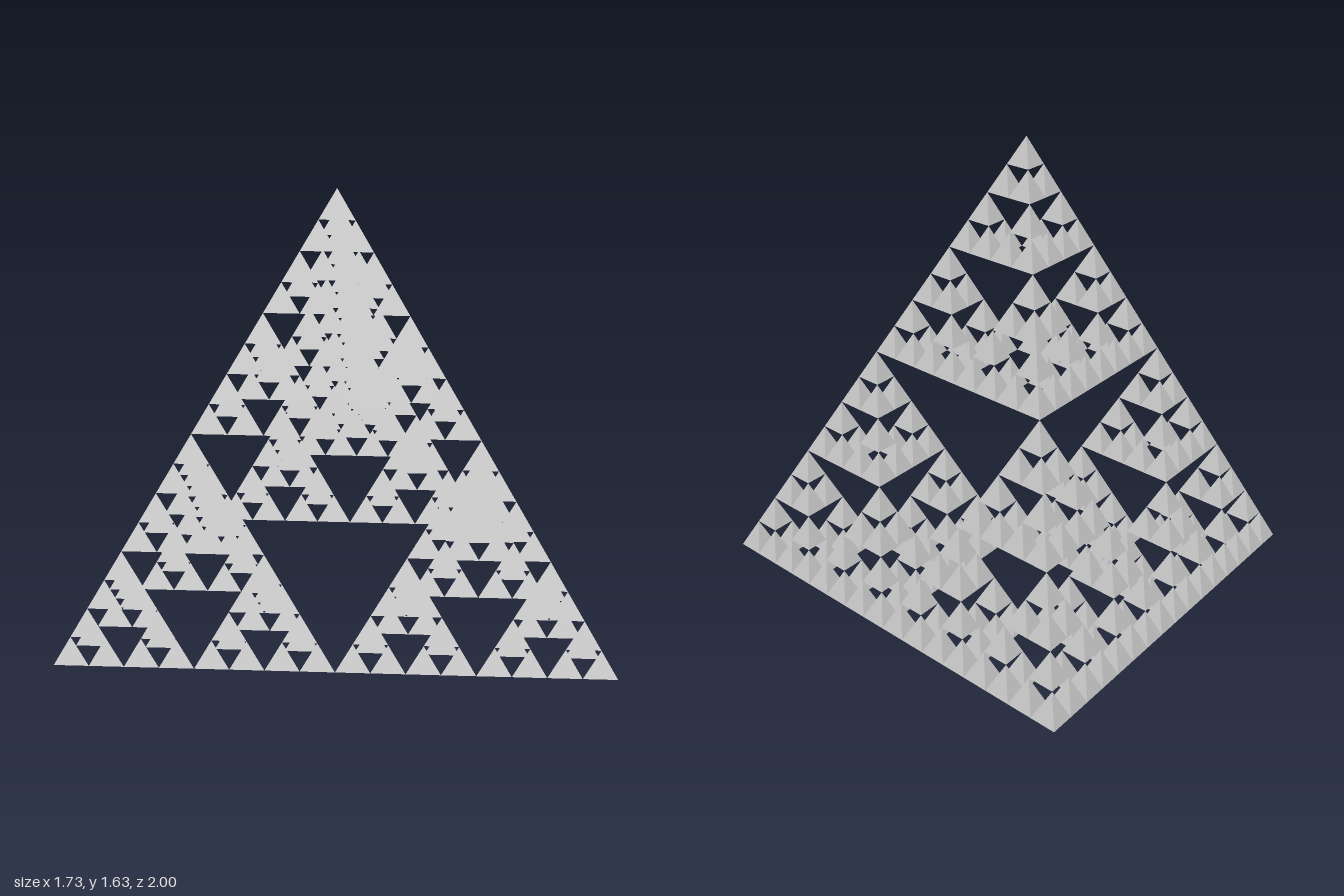
import * as THREE from 'three';
import { mergeGeometries } from 'three/addons/utils/BufferGeometryUtils.js';

const EDGE = 2;
const LEVELS = 4;
const RADIUS = EDGE / Math.sqrt(3);        // base centre to base corner
const HEIGHT = EDGE * Math.sqrt(2 / 3);

// Directions from the centre of a tetrahedron's base to its four corners, for edge EDGE
const CORNERS = [
  ['rightCorner', new THREE.Vector3(RADIUS, 0, 0)],
  ['backCorner', new THREE.Vector3(-RADIUS / 2, 0, -EDGE / 2)],
  ['frontCorner', new THREE.Vector3(-RADIUS / 2, 0, EDGE / 2)],
  ['topCorner', new THREE.Vector3(0, HEIGHT, 0)],
];

// Solid tetrahedron standing on its base, one base corner towards +x
function tetrahedron(scale, base) {
  const h = HEIGHT * scale;
  return new THREE.ConeGeometry(RADIUS * scale, h, 3, 1, false, Math.PI / 2)
    .translate(base.x, base.y + h / 2, base.z);
}

// Replace each tetrahedron by four half-size copies, one in each corner
function subdivide(base, scale, level, out) {
  if (level === 0) {
    out.push(tetrahedron(scale, base));
    return out;
  }
  for (const [, dir] of CORNERS) {
    subdivide(base.clone().addScaledVector(dir, scale / 2), scale / 2, level - 1, out);
  }
  return out;
}

export function createModel() {
  const model = new THREE.Group();
  model.name = 'fractalTetrahedron';
  const material = new THREE.MeshStandardMaterial({ color: 0xcccccc, flatShading: true });

  // Base centre shifted so the bounding box is centred on x = 0
  const centre = new THREE.Vector3(-RADIUS / 4, 0, 0);

  // One mesh for each of the four main corners
  for (const [name, dir] of CORNERS) {
    const base = centre.clone().addScaledVector(dir, 0.5);
    const mesh = new THREE.Mesh(mergeGeometries(subdivide(base, 0.5, LEVELS - 1, [])), material);
    mesh.name = name;
    model.add(mesh);
  }
  return model;
}
